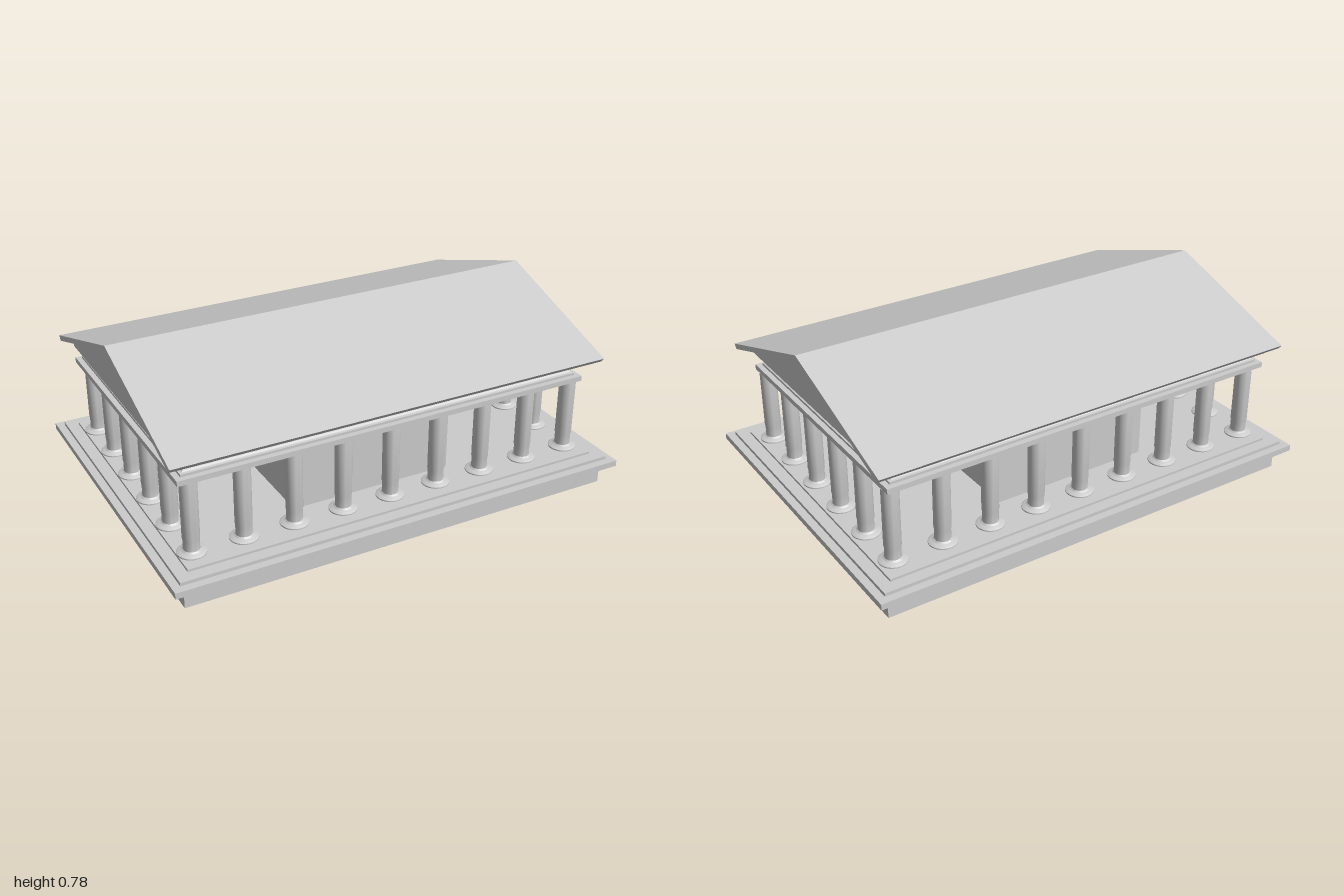
import * as THREE from 'three';
import { toCreasedNormals } from 'three/addons/utils/BufferGeometryUtils.js';

const material = new THREE.MeshStandardMaterial({ color: 0xcccccc });

function add(parent, name, geometry, x = 0, y = 0, z = 0) {
  const mesh = new THREE.Mesh(geometry, material);
  mesh.name = name;
  mesh.position.set(x, y, z);
  parent.add(mesh);
  return mesh;
}

// Box given by half sizes and its bottom and top heights
function slab(parent, name, hx, hz, y0, y1, x = 0, z = 0) {
  return add(parent, name, new THREE.BoxGeometry(hx * 2, y1 - y0, hz * 2), x, (y0 + y1) / 2, z);
}

// Rectangular moulding: each profile point is [inset, y]
function moulding(hx, hz, profile) {
  const corners = [[1, 1], [1, -1], [-1, -1], [-1, 1]];
  const positions = [];
  const point = ([inset, y], [sx, sz]) => [sx * (hx - inset), y, sz * (hz - inset)];
  for (let i = 0; i < profile.length - 1; i++) {
    for (let c = 0; c < 4; c++) {
      const next = corners[(c + 1) % 4];
      const a = point(profile[i], corners[c]), b = point(profile[i], next);
      const d = point(profile[i + 1], corners[c]), e = point(profile[i + 1], next);
      positions.push(...a, ...b, ...e, ...a, ...e, ...d);
    }
  }
  const geometry = new THREE.BufferGeometry();
  geometry.setAttribute('position', new THREE.Float32BufferAttribute(positions, 3));
  return toCreasedNormals(geometry, 0.6);
}

// Outline in (z, y) extruded along x from x0 to x1
function prism(outline, x0, x1) {
  const shape = new THREE.Shape(outline.map(([z, y]) => new THREE.Vector2(z, y)));
  const geometry = new THREE.ExtrudeGeometry(shape, { depth: x1 - x0, bevelEnabled: false });
  return geometry.rotateY(Math.PI / 2).translate(x0, 0, 0);
}

export function createModel() {
  const temple = new THREE.Group();
  temple.name = 'temple';

  // Foundation and steps
  slab(temple, 'foundation', 0.95, 0.67, 0, 0.087);
  slab(temple, 'lowerStep', 1, 0.718, 0.087, 0.113);
  slab(temple, 'middleStep', 0.967, 0.685, 0.113, 0.127);
  slab(temple, 'floor', 0.917, 0.635, 0.127, 0.137);

  // Inner chamber
  slab(temple, 'innerChamber', 0.353, 0.44, 0.137, 0.458, -0.039, 0.01);

  // Columns around the edge of the floor
  const profile = [
    [0, 0.137], [0.058, 0.137], [0.058, 0.142], [0.052, 0.146], [0.042, 0.148],
    [0.036, 0.151], [0.0325, 0.155], [0.0325, 0.198], [0.0345, 0.206], [0.0345, 0.458],
  ].map(([r, y]) => new THREE.Vector2(r, y));
  const columnGeometry = toCreasedNormals(new THREE.LatheGeometry(profile, 24), 0.6);
  const colonnade = new THREE.Group();
  colonnade.name = 'colonnade';
  temple.add(colonnade);
  for (let i = 0; i < 9; i++) {
    for (let j = 0; j < 6; j++) {
      if (i > 0 && i < 8 && j > 0 && j < 5) continue;
      add(colonnade, 'column', columnGeometry, -0.859 + i * 0.2135, 0, 0.534 - j * 0.2136);
    }
  }

  // Entablature with a hollow moulding between two slabs
  const cx = -0.0175, hx = 0.9, hz = 0.58;
  slab(temple, 'architrave', hx, hz, 0.458, 0.48, cx);
  const hollow = [[0.023, 0.48], [0.023, 0.49]];
  for (let i = 0; i <= 8; i++) {
    const a = (i / 8) * Math.PI;
    hollow.push([0.023 + 0.018 * Math.sin(a), 0.507 - 0.017 * Math.cos(a)]);
  }
  hollow.push([0.023, 0.533]);
  add(temple, 'frieze', moulding(hx, hz, hollow), cx);
  slab(temple, 'cornice', hx, hz, 0.533, 0.558, cx);

  // Gable block and overhanging roof
  add(temple, 'gable', prism([[-0.61, 0.557], [0.61, 0.557], [0, 0.76]], -0.918, 0.883));
  add(temple, 'roof', prism([
    [-0.638, 0.57], [-0.622, 0.551], [0, 0.76], [0.622, 0.551], [0.638, 0.57], [0, 0.783],
  ], -0.962, 0.942));

  return temple;
}
